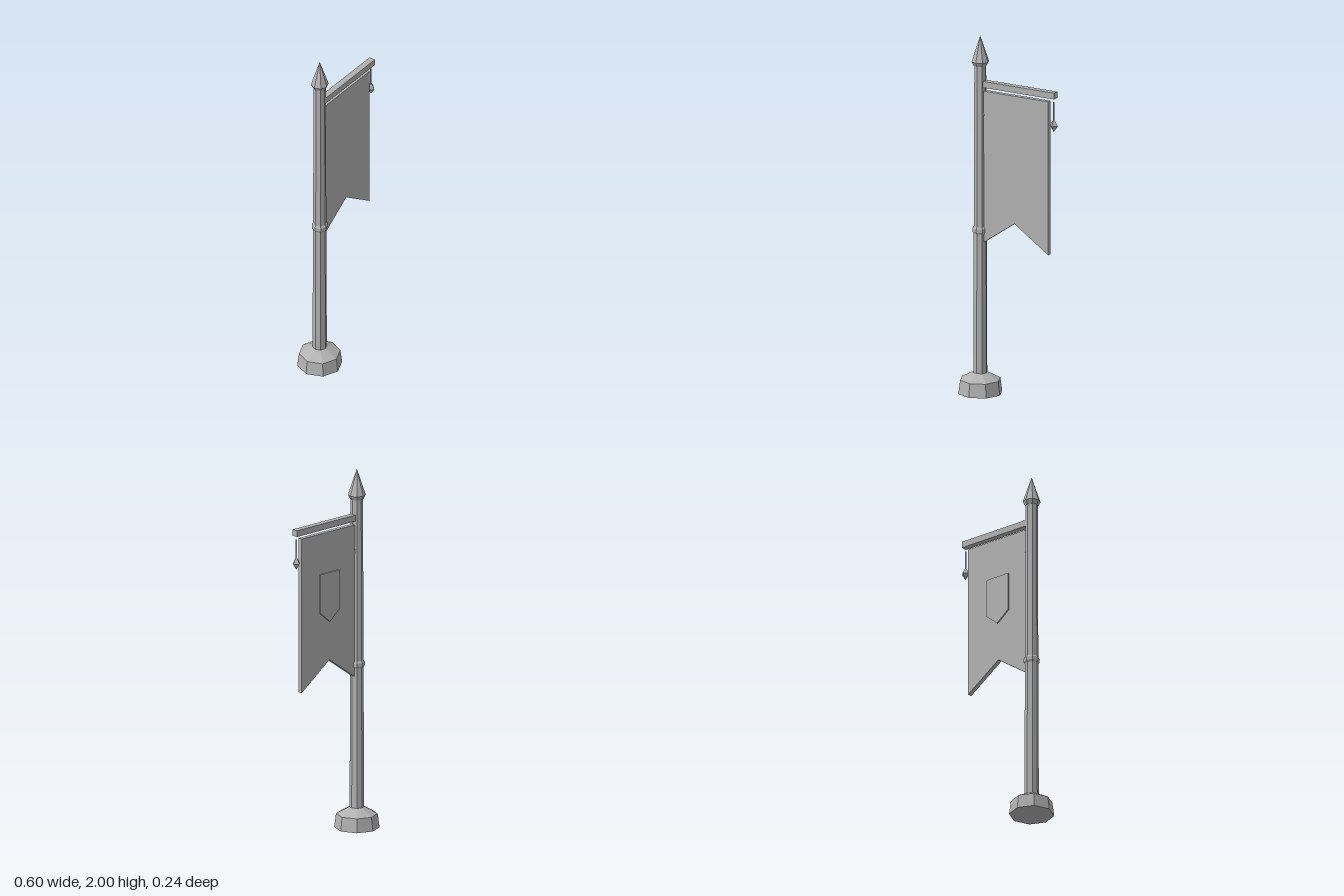
import * as THREE from 'three';

const POLE_X = -0.18;

export function createModel() {
  const group = new THREE.Group();
  const grey = new THREE.MeshStandardMaterial({ color: 0xb2b2b2, flatShading: true });
  grey.name = 'plain grey';

  const add = (name, geometry, x = 0, y = 0, z = 0) => {
    const mesh = new THREE.Mesh(geometry, grey);
    mesh.name = name;
    mesh.position.set(x, y, z);
    group.add(mesh);
  };
  // Faceted turned part from [radius, height] pairs, bottom to top
  const turned = (points, sides = 8) =>
    new THREE.LatheGeometry(points.map(([r, y]) => new THREE.Vector2(r, y)), sides);
  // Flat panel from an outline
  const panel = (points, depth) =>
    new THREE.ExtrudeGeometry(new THREE.Shape(points.map(([x, y]) => new THREE.Vector2(x, y))),
      { depth, bevelEnabled: false });

  // Octagonal foot, tapered pole, collar and pointed finial
  add('base', turned([[0, 0], [0.122, 0], [0.112, 0.077], [0.04, 0.115], [0, 0.115]]), POLE_X);
  add('pole', turned([[0.039, 0.1], [0.033, 1.85]]), POLE_X);
  add('collar', turned([[0.034, 0.89], [0.043, 0.905], [0.043, 0.923], [0.034, 0.938]]), POLE_X);
  add('finial', turned([[0, 1.832], [0.036, 1.832], [0.048, 1.855], [0.044, 1.868], [0, 2]]), POLE_X);

  // Crossbar
  add('crossbar', new THREE.BoxGeometry(0.45, 0.035, 0.035), 0.065, 1.733, 0);

  // Swallow-tailed banner
  add('banner', panel([[-0.17, 1.695], [-0.17, 0.835], [0.04, 0.98], [0.25, 0.835], [0.25, 1.695]], 0.026),
    0, 0, -0.013);

  // Shield plate on the back of the banner
  add('shield', panel([[-0.032, 1.47], [-0.032, 1.255], [0.043, 1.195], [0.117, 1.255], [0.117, 1.47]], 0.008),
    0, 0, -0.021);

  // Hanging tassels at both ends
  for (const x of [-0.157, 0.278]) {
    add('tasselCord', new THREE.CylinderGeometry(0.005, 0.005, 0.115, 4), x, 1.6375, 0);
    add('tasselBead', turned([[0, 1.527], [0.024, 1.562], [0.006, 1.593], [0, 1.593]], 4), x);
  }
  return group;
}
